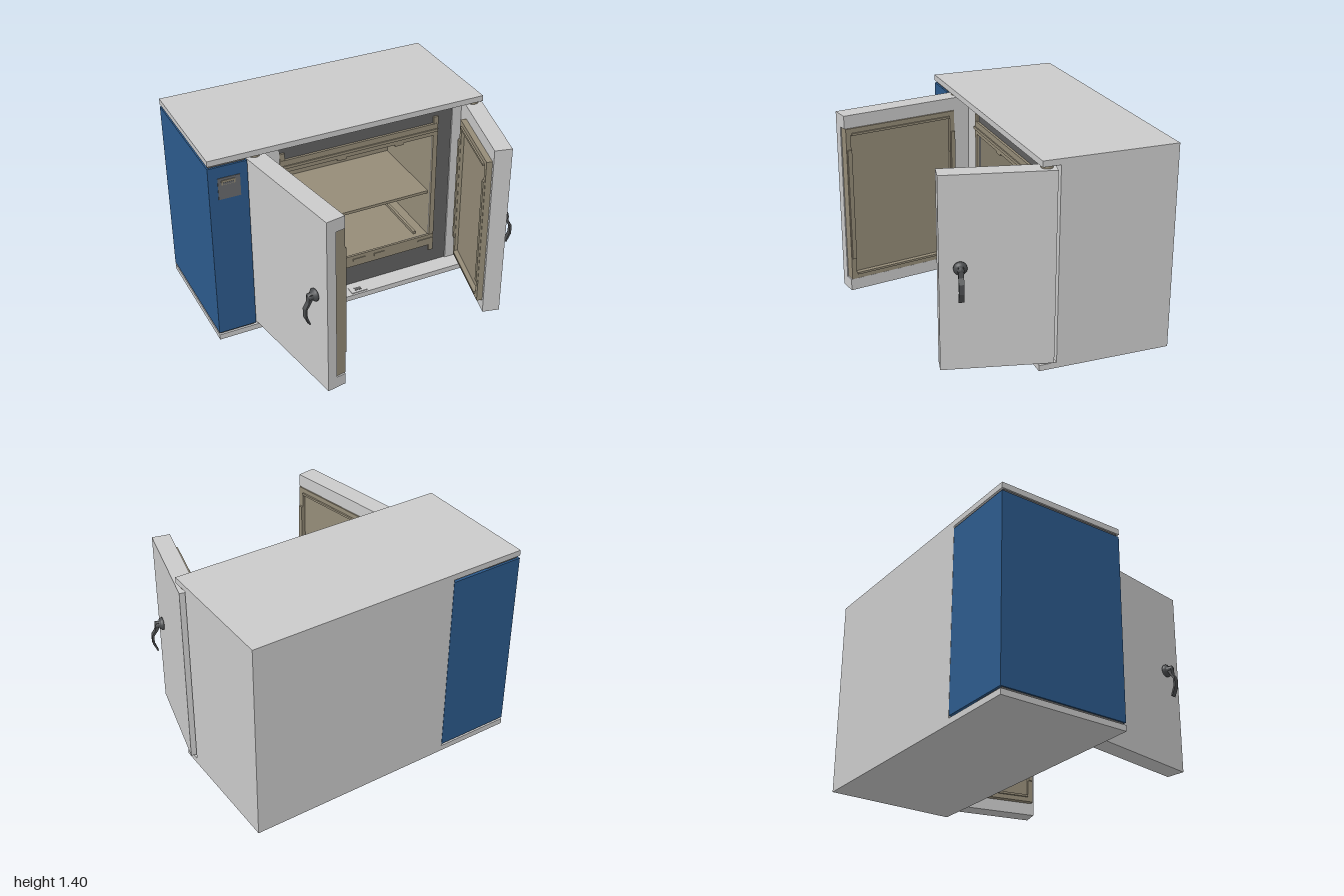
import * as THREE from 'three';

const mat = (name, color) => {
  const m = new THREE.MeshStandardMaterial({ color });
  m.name = name;
  return m;
};

export function createModel() {
  const grey = mat('light grey', 0xcacaca);
  const dark = mat('dark grey', 0x606060);
  const tan = mat('tan', 0x958c78);
  const blue = mat('blue', 0x2c5a8c);
  const iron = mat('handle grey', 0x4a4c4e);
  const panelGrey = mat('panel grey', 0x686a6c);

  const root = new THREE.Group();
  root.name = 'cabinet';

  const add = (parent, name, geometry, material) => {
    const mesh = new THREE.Mesh(geometry, material);
    mesh.name = name;
    parent.add(mesh);
    return mesh;
  };
  // Box given by its limits on each axis
  const box = (parent, name, material, x0, x1, y0, y1, z0, z1) => {
    const g = new THREE.BoxGeometry(Math.abs(x1 - x0), y1 - y0, z1 - z0);
    g.translate((x0 + x1) / 2, (y0 + y1) / 2, (z0 + z1) / 2);
    return add(parent, name, g, material);
  };

  // Outer case
  box(root, 'topPlate', grey, -1, 0.97, 1.36, 1.4, -0.88, 0.03);
  box(root, 'bottomPlate', grey, -1, 0.97, 0, 0.04, -0.88, 0.03);
  box(root, 'rightWall', grey, 0.81, 0.97, 0.04, 1.36, -0.88, -0.09);
  box(root, 'backWall', grey, -0.47, 0.81, 0.04, 1.36, -0.88, -0.84);
  box(root, 'divider', grey, -0.735, -0.47, 0.04, 1.36, -0.86, -0.09);

  // Blue service compartment with shadow gaps above and below
  box(root, 'compartmentCore', dark, -0.99, -0.745, 0.04, 1.36, -0.865, 0.015);
  box(root, 'serviceCompartment', blue, -1, -0.735, 0.055, 1.342, -0.88, 0.028);
  box(root, 'serviceBackPanel', blue, -0.735, -0.472, 0.055, 1.342, -0.88, -0.86);
  box(root, 'controlPanel', panelGrey, -0.938, -0.788, 1.105, 1.26, 0.028, 0.032);
  box(root, 'display', tan, -0.915, -0.822, 1.21, 1.242, 0.032, 0.036);
  box(root, 'displayWindow', panelGrey, -0.905, -0.832, 1.214, 1.228, 0.036, 0.038);

  // Dark front frame around the chamber opening
  const rect = (Type, x0, x1, y0, y1) => {
    const p = new Type();
    p.moveTo(x0, y0).lineTo(x1, y0).lineTo(x1, y1).lineTo(x0, y1).closePath();
    return p;
  };
  const frame = rect(THREE.Shape, -0.47, 0.81, 0.04, 1.36);
  frame.holes.push(rect(THREE.Path, -0.435, 0.665, 0.28, 1.12));
  const frameGeo = new THREE.ExtrudeGeometry(frame, { depth: 0.015, bevelEnabled: false });
  add(root, 'innerFrame', frameGeo, dark).position.z = -0.115;

  // Chamber
  const chamber = new THREE.Group();
  chamber.name = 'chamber';
  root.add(chamber);
  box(chamber, 'chamberBack', tan, -0.455, 0.685, 0.25, 1.15, -0.77, -0.75);
  box(chamber, 'chamberLeftWall', tan, -0.455, -0.435, 0.25, 1.15, -0.75, -0.1);
  box(chamber, 'chamberRightWall', tan, 0.665, 0.685, 0.25, 1.15, -0.75, -0.1);
  box(chamber, 'chamberFloor', tan, -0.435, 0.665, 0.25, 0.28, -0.75, -0.1);
  box(chamber, 'chamberCeiling', tan, -0.435, 0.665, 1.12, 1.15, -0.75, -0.1);
  box(chamber, 'shelf', tan, -0.435, 0.665, 0.617, 0.638, -0.75, -0.13);
  for (const x of [-0.36, 0.57]) {
    box(chamber, 'floorRunner', tan, x, x + 0.02, 0.28, 0.3, -0.7, -0.15);
  }
  box(chamber, 'topRail', tan, -0.47, 0.695, 1.11, 1.2, -0.1, -0.083);
  box(chamber, 'topRailLip', tan, -0.47, 0.695, 1.14, 1.16, -0.083, -0.075);
  box(chamber, 'bottomRail', tan, -0.47, 0.695, 0.2, 0.29, -0.1, -0.083);
  for (const x of [-0.47, 0.665]) {
    box(chamber, 'sideRail', tan, x, x + 0.035, 0.15, 1.25, -0.1, -0.086);
  }
  for (const [x0, x1] of [[-0.44, -0.22], [0.055, 0.15], [0.22, 0.3], [0.57, 0.69]]) {
    box(chamber, 'railSlot', tan, x0, x1, 0.242, 0.262, -0.083, -0.078);
  }
  for (const x of [-0.06, 0.37]) {
    box(chamber, 'railCatch', tan, x, x + 0.065, 1.095, 1.11, -0.1, -0.085);
  }

  // Vent holes in the chamber back
  for (let i = 0; i < 9; i++) {
    for (let j = 0; j < 4; j++) {
      const hole = add(chamber, 'ventHole', new THREE.CircleGeometry(0.014, 12), grey);
      hole.position.set(-0.012 + i * 0.05, 0.89 + j * 0.0445, -0.747);
    }
  }

  // Latch plate on the floor of the door recess
  box(root, 'latchPlate', grey, 0.0, 0.12, 0.04, 0.046, -0.055, 0.015);
  box(root, 'latchSlot', dark, 0.035, 0.085, 0.046, 0.048, -0.035, -0.005);

  // Lever handle, pointing out along +x
  const makeHandle = () => {
    const h = new THREE.Group();
    h.name = 'handle';
    const profile = [[0, 0], [0.043, 0], [0.043, 0.012], [0.032, 0.024], [0.022, 0.028], [0.022, 0.055], [0, 0.055]];
    const rose = new THREE.LatheGeometry(profile.map(p => new THREE.Vector2(...p)), 20);
    rose.rotateZ(-Math.PI / 2);
    rose.computeVertexNormals();
    add(h, 'rose', rose, iron);
    const s = new THREE.Shape([
      [0.03, 0.018], [0.052, 0.018], [0.06, -0.04], [0.083, -0.075], [0.083, -0.14], [0.055, -0.205],
      [0.046, -0.2], [0.07, -0.135], [0.07, -0.08], [0.044, -0.045], [0.03, -0.02],
    ].map(p => new THREE.Vector2(...p)));
    const lever = new THREE.ExtrudeGeometry(s, { depth: 0.034, bevelEnabled: false });
    lever.translate(0, 0, -0.017);
    add(h, 'lever', lever, iron);
    return h;
  };

  // Open door hung at its hinge: local +z runs to the free edge, side gives the outward x
  const makeDoor = (name, side, hingeX, degrees, length, innerDepth, tanFrom, tanTo, tanEnd) => {
    const door = new THREE.Group();
    door.name = name;
    door.position.set(hingeX, 0, -0.02);
    door.rotation.y = THREE.MathUtils.degToRad(degrees);
    root.add(door);
    const part = (n, m, d0, d1, y0, y1, z0, z1) => box(door, n, m, side * d0, side * d1, y0, y1, z0, z1);

    part('doorSkin', grey, 0.064, tanFrom, 0.055, 1.34, -0.058, length);
    if (tanFrom > innerDepth) {
      part('doorTopEdge', grey, tanFrom, innerDepth, 1.25, 1.34, -0.058, length);
      part('doorBottomEdge', grey, tanFrom, innerDepth, 0.055, 0.138, -0.058, length);
      part('doorHingeEdge', grey, tanFrom, innerDepth, 0.138, 1.25, -0.058, 0.06);
    }
    // Tan lining: sunken panel, rim and raised side strips
    const rim = tanTo + 0.012;
    const z0 = 0.06;
    part('liningPanel', tan, tanFrom, rim + 0.022, 0.142, 1.248, z0, tanEnd);
    part('liningTop', tan, rim + 0.022, rim, 1.2, 1.248, z0, tanEnd);
    part('liningBottom', tan, rim + 0.022, rim, 0.142, 0.19, z0, tanEnd);
    part('liningTopLip', tan, rim, tanTo, 1.2, 1.215, z0 + 0.04, tanEnd - 0.04);
    part('liningBottomLip', tan, rim, tanTo, 0.175, 0.19, z0 + 0.04, tanEnd - 0.04);
    for (const z of [z0, tanEnd - 0.035]) {
      part('liningSide', tan, rim + 0.022, rim, 0.19, 1.2, z, z + 0.035);
      part('liningStrip', tan, rim, tanTo, 0.3, 1.1, z, z + 0.03);
    }
    // Hinge pins
    for (const y of [0.0475, 1.35]) {
      add(door, 'hingePin', new THREE.CylinderGeometry(0.038, 0.038, 0.02, 20), tan).position.y = y;
    }
    const handle = makeHandle();
    handle.position.set(side * 0.064, 0.745, length - 0.13);
    if (side < 0) handle.rotation.y = Math.PI;
    door.add(handle);
  };
  makeDoor('leftDoor', 1, 0.92, -13.7, 0.657, -0.056, -0.056, -0.108, 0.635);
  makeDoor('rightDoor', -1, -0.67, 9.46, 0.895, -0.066, -0.002, -0.085, 0.888);

  return root;
}
